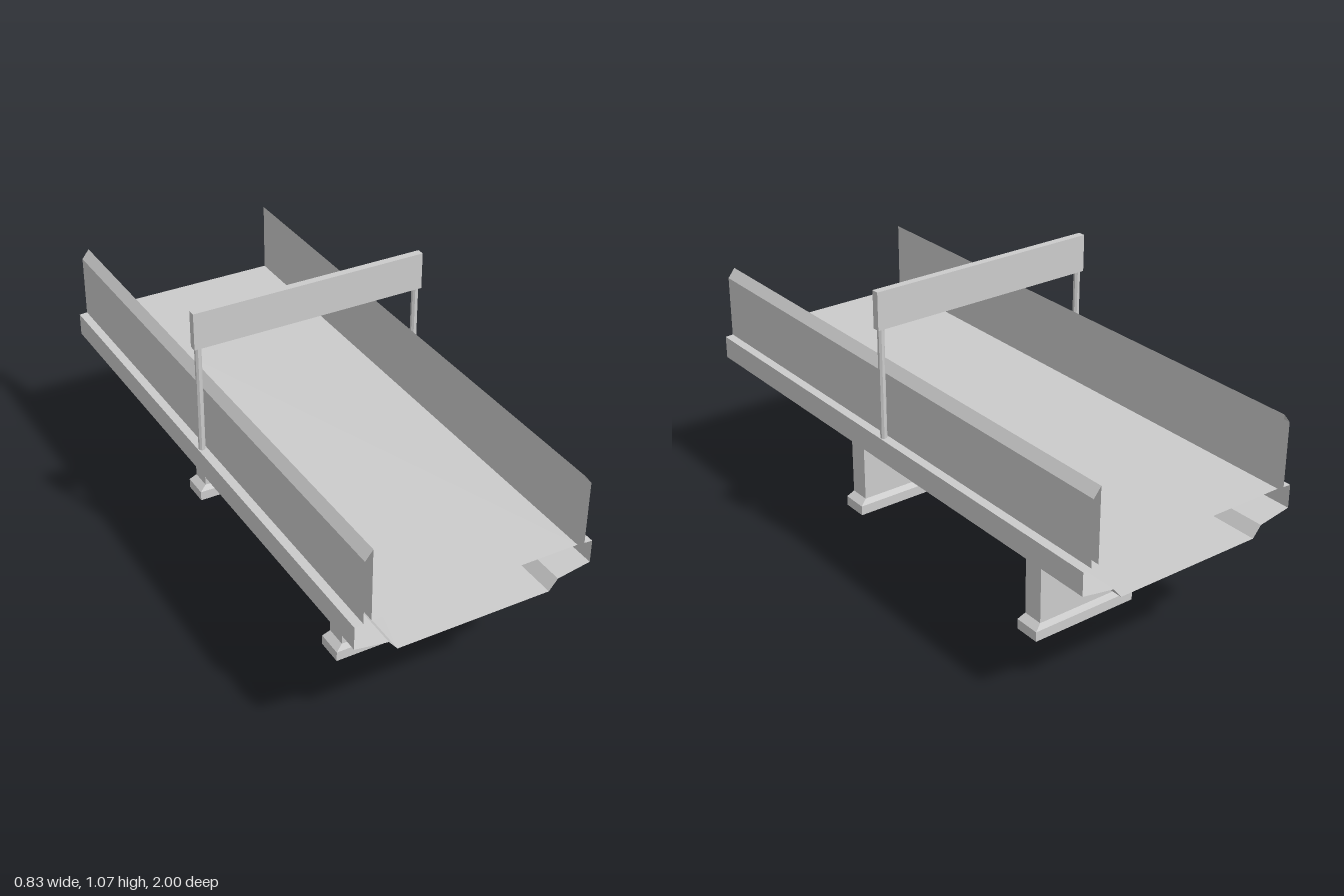
import * as THREE from 'three';

const material = new THREE.MeshStandardMaterial({ color: 0xcccccc, flatShading: true, side: THREE.DoubleSide });

function add(parent, name, geometry, x = 0, y = 0, z = 0) {
  const mesh = new THREE.Mesh(geometry, material);
  mesh.name = name;
  mesh.position.set(x, y, z);
  parent.add(mesh);
  return mesh;
}

// Open-ended shell: a closed x/y outline swept along z
function sweptShell(outline, z0, z1) {
  const positions = [];
  outline.forEach(([ax, ay], i) => {
    const [bx, by] = outline[(i + 1) % outline.length];
    positions.push(ax, ay, z0, bx, by, z0, bx, by, z1);
    positions.push(ax, ay, z0, bx, by, z1, ax, ay, z1);
  });
  const geometry = new THREE.BufferGeometry();
  geometry.setAttribute('position', new THREE.Float32BufferAttribute(positions, 3));
  geometry.computeVertexNormals();
  return geometry;
}

// Rectangular column with a flared foot, from stacked [y, halfX, halfZ] sections
function pierGeometry() {
  const sections = [[0, 0.203, 0.048], [0.036, 0.203, 0.048], [0.056, 0.179, 0.038], [0.428, 0.179, 0.038]];
  const corners = [[1, 1], [1, -1], [-1, -1], [-1, 1]];
  const positions = [];
  const index = [];
  for (const [y, hx, hz] of sections) {
    for (const [sx, sz] of corners) positions.push(sx * hx, y, sz * hz);
  }
  for (let s = 0; s < sections.length - 1; s++) {
    for (let c = 0; c < 4; c++) {
      const a = s * 4 + c, b = s * 4 + (c + 1) % 4;
      index.push(a, b, b + 4, a, b + 4, a + 4);
    }
  }
  const top = (sections.length - 1) * 4;
  index.push(0, 2, 1, 0, 3, 2, top, top + 1, top + 2, top, top + 2, top + 3);
  const geometry = new THREE.BufferGeometry();
  geometry.setAttribute('position', new THREE.Float32BufferAttribute(positions, 3));
  geometry.setIndex(index);
  const flat = geometry.toNonIndexed();
  flat.computeVertexNormals();
  return flat;
}

export function createModel() {
  const model = new THREE.Group();
  model.name = 'bridgeSection';

  // Hollow girder, ledges and parapets in one outline; the left half is mirrored
  const half = [
    [0.265, 0.428], [0.295, 0.465], [0.41, 0.485], [0.41, 0.565],
    [0.381, 0.567], [0.381, 0.787], [0.355, 0.82], [0.355, 0.57],
  ];
  const outline = [...half, ...half.map(([x, y]) => [-x, y]).reverse()];
  add(model, 'deckAndParapets', sweptShell(outline, 1, -1));

  // Supporting piers
  for (const z of [0.5, -0.5]) add(model, z > 0 ? 'frontPier' : 'backPier', pierGeometry(), 0, 0, z);

  // Overhead gantry
  const gantry = new THREE.Group();
  gantry.name = 'gantry';
  model.add(gantry);
  add(gantry, 'gantryBeam', new THREE.BoxGeometry(0.826, 0.128, 0.026), 0, 1.009, 0);
  for (const side of [1, -1]) {
    const post = new THREE.CylinderGeometry(0.0115, 0.0115, 0.382, 8);
    post.rotateY(Math.PI / 8);
    add(gantry, side > 0 ? 'leftPost' : 'rightPost', post, side * 0.396, 0.756, 0);
  }
  return model;
}
